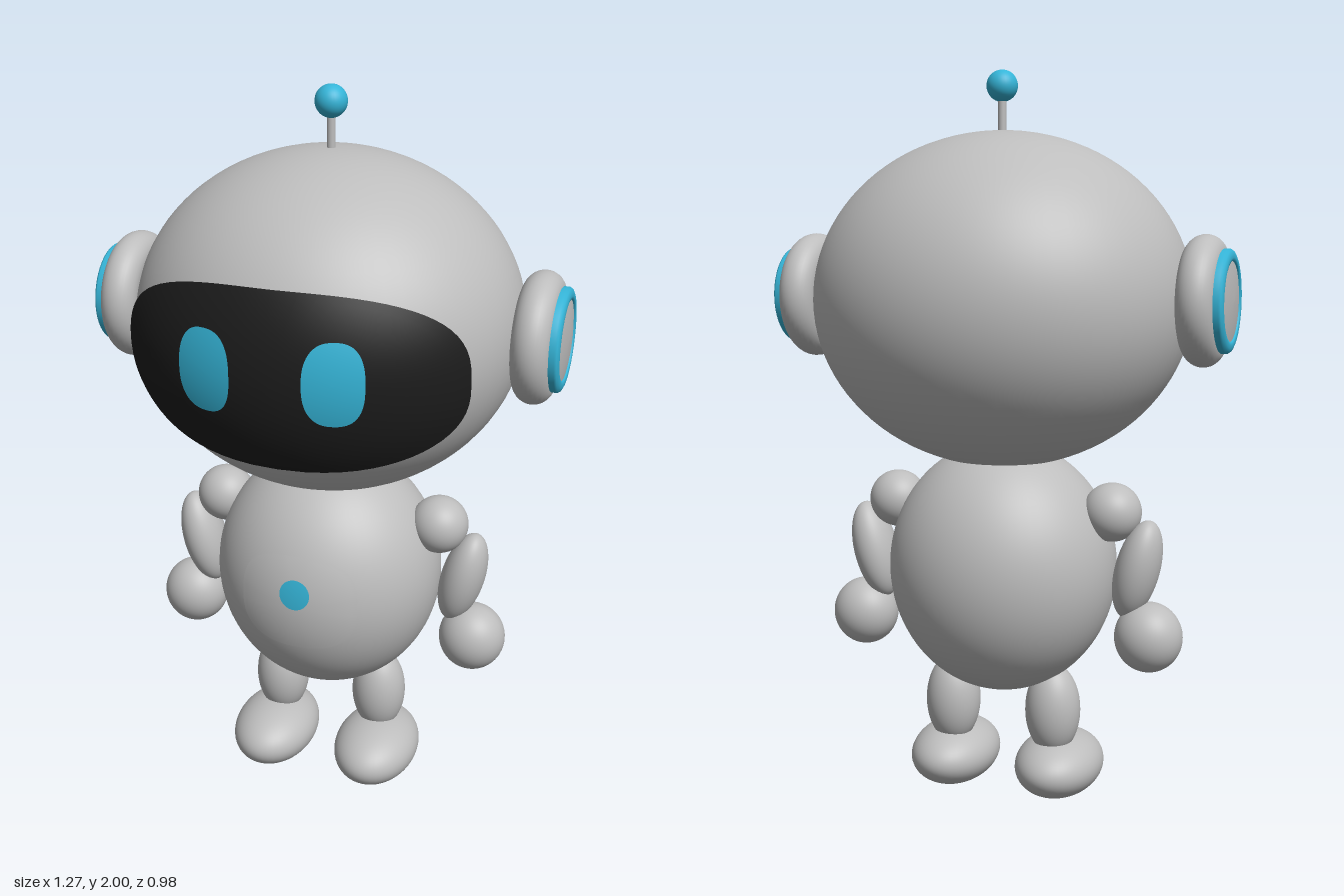
import * as THREE from 'three';

const shell = new THREE.MeshStandardMaterial({ color: 0xbdbdbd });
shell.name = 'shell grey';
const cyan = new THREE.MeshStandardMaterial({ color: 0x35b5d8 });
cyan.name = 'cyan';
const black = new THREE.MeshStandardMaterial({ color: 0x1c1c1c, side: THREE.DoubleSide });
black.name = 'visor black';

function add(parent, name, geometry, material, x = 0, y = 0, z = 0) {
  const mesh = new THREE.Mesh(geometry, material);
  mesh.name = name;
  mesh.position.set(x, y, z);
  parent.add(mesh);
  return mesh;
}

function ellipsoid(rx, ry, rz, segments = 48) {
  return new THREE.SphereGeometry(1, segments, segments * 0.75).scale(rx, ry, rz);
}

// Rounded plate (superellipse outline) wrapped on the front of an ellipsoid
function curvedPlate({ centre, radii }, x, y, halfW, halfH, power, lift) {
  const rings = 14, sides = 72, positions = [], index = [];
  const bulge = (v) => Math.sign(v) * Math.abs(v) ** (2 / power);
  for (let i = 0; i <= rings; i++) {
    for (let j = 0; j < sides; j++) {
      const a = (j / sides) * Math.PI * 2;
      const px = x + (i / rings) * halfW * bulge(Math.cos(a));
      const py = y + (i / rings) * halfH * bulge(Math.sin(a));
      const u = (px - centre[0]) / radii[0], v = (py - centre[1]) / radii[1];
      positions.push(px, py, centre[2] + lift + radii[2] * Math.sqrt(Math.max(0, 1 - u * u - v * v)));
      if (i === rings) continue;
      const p = i * sides + j, q = i * sides + (j + 1) % sides;
      if (i > 0) index.push(p, q + sides, q);
      index.push(p, p + sides, q + sides);
    }
  }
  const geometry = new THREE.BufferGeometry();
  geometry.setAttribute('position', new THREE.Float32BufferAttribute(positions, 3));
  geometry.setIndex(index);
  geometry.computeVertexNormals();
  return geometry;
}

function lathe(points) {
  return new THREE.LatheGeometry(points.map(([r, h]) => new THREE.Vector2(r, h)), 56);
}

export function createModel() {
  const robot = new THREE.Group();
  robot.name = 'robot';

  // Head with wrap-around visor and eyes
  add(robot, 'head', ellipsoid(0.517, 0.452, 0.487, 64), shell, 0, 1.39, -0.007);
  const visorSurface = { centre: [0, 1.39, -0.01], radii: [0.545, 0.47, 0.5] };
  add(robot, 'visor', curvedPlate(visorSurface, 0, 1.367, 0.45, 0.238, 2.6, 0), black);
  for (const side of [-1, 1]) {
    add(robot, side > 0 ? 'leftEye' : 'rightEye',
      curvedPlate(visorSurface, side * 0.164, 1.395, 0.073, 0.106, 2.5, 0.006), cyan);
  }

  // Antenna
  add(robot, 'antennaStem', new THREE.CylinderGeometry(0.011, 0.011, 0.14, 20), shell, 0, 1.87, -0.01);
  add(robot, 'antennaBall', ellipsoid(0.042, 0.042, 0.042, 32), cyan, 0, 1.958, -0.01);

  // Ears: rounded pad, coloured ring and shallow cap
  const padProfile = [[0, -0.05]];
  for (let i = 0; i <= 16; i++) {
    const a = -Math.PI / 2 + (i / 16) * Math.PI;
    padProfile.push([0.122 + 0.05 * Math.cos(a), 0.05 * Math.sin(a)]);
  }
  padProfile.push([0, 0.05]);
  for (const side of [-1, 1]) {
    const ear = new THREE.Group();
    ear.name = side > 0 ? 'leftEar' : 'rightEar';
    ear.position.set(side * 0.558, 1.397, -0.01);
    ear.rotation.z = -side * Math.PI / 2;
    add(ear, 'earPad', lathe(padProfile), shell);
    add(ear, 'earRing', lathe([[0.135, 0.04], [0.135, 0.062], [0.131, 0.068], [0.122, 0.072],
      [0.112, 0.073], [0.104, 0.071], [0.102, 0.06]]), cyan);
    add(ear, 'earCap', lathe([[0.104, 0.068], [0.08, 0.072], [0.04, 0.076], [0, 0.077]]), shell);
    robot.add(ear);
  }

  // Body with chest plate and button
  add(robot, 'body', ellipsoid(0.318, 0.35, 0.298, 64), shell, 0, 0.655, -0.002);
  const chestSurface = { centre: [0, 0.655, -0.002], radii: [0.318, 0.35, 0.298] };
  add(robot, 'chestPlate', curvedPlate(chestSurface, 0, 0.675, 0.163, 0.135, 2.8, 0.005), shell);
  add(robot, 'chestButton', curvedPlate(chestSurface, 0, 0.71, 0.042, 0.042, 2, 0.011), cyan);

  // Arms and legs
  for (const side of [-1, 1]) {
    const arm = new THREE.Group();
    arm.name = side > 0 ? 'leftArm' : 'rightArm';
    add(arm, 'shoulder', ellipsoid(0.08, 0.08, 0.08), shell, side * 0.315, 0.825, -0.007);
    const limb = add(arm, 'upperArm', ellipsoid(0.06, 0.14, 0.073), shell, side * 0.387, 0.672, -0.007);
    limb.rotation.z = -side * 0.25;
    add(arm, 'hand', ellipsoid(0.093, 0.096, 0.09), shell, side * 0.42, 0.488, -0.007);

    const leg = new THREE.Group();
    leg.name = side > 0 ? 'leftLeg' : 'rightLeg';
    add(leg, 'shin', ellipsoid(0.077, 0.128, 0.077), shell, side * 0.149, 0.255, -0.007);
    add(leg, 'foot', ellipsoid(0.12, 0.089, 0.172), shell, side * 0.157, 0.089, 0.032);
    robot.add(arm, leg);
  }
  return robot;
}
